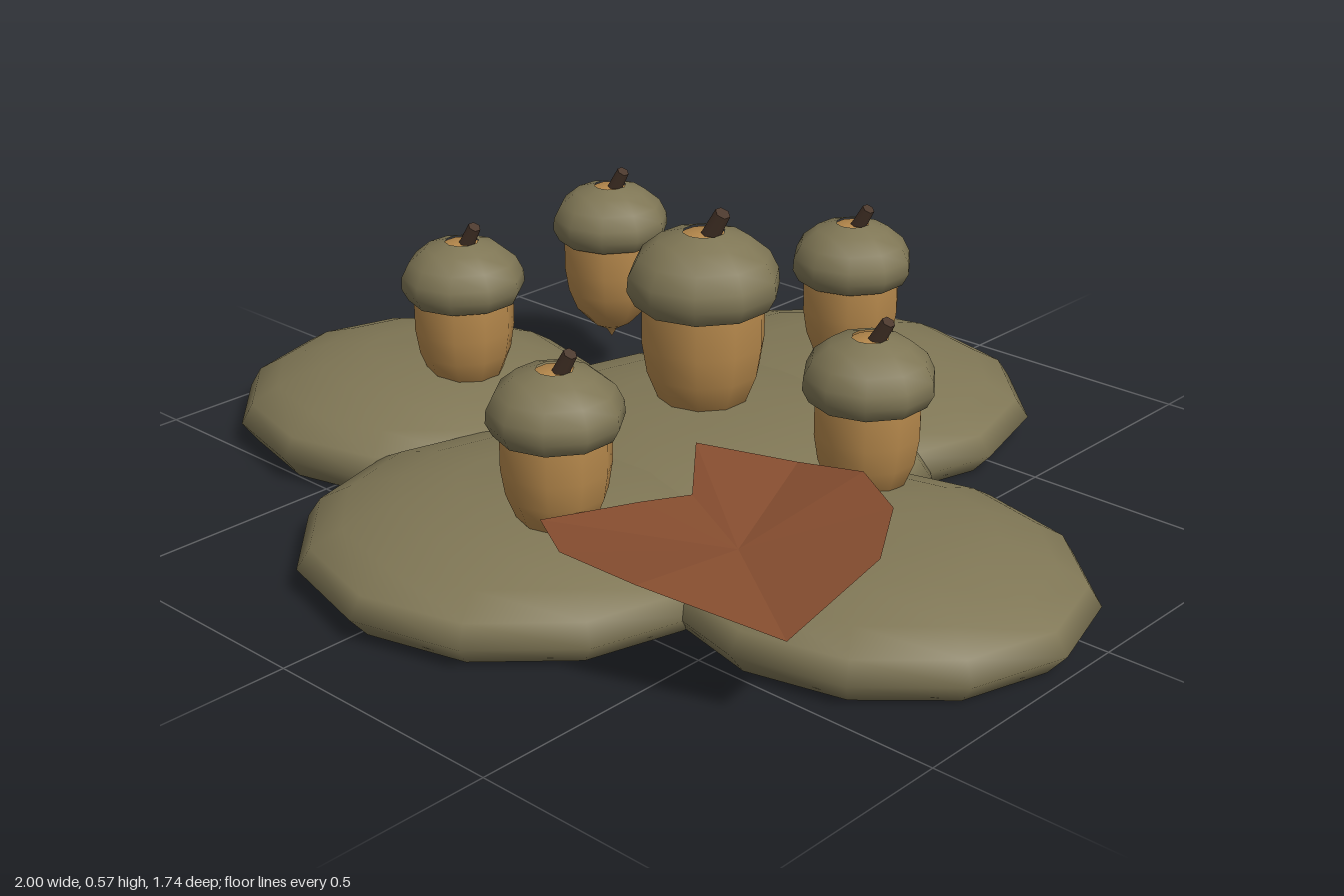
import * as THREE from 'three';

const material = (name, color, side = THREE.FrontSide) => {
  const m = new THREE.MeshStandardMaterial({ color, side });
  m.name = name;
  return m;
};

const lathe = (points, sides) =>
  new THREE.LatheGeometry(points.map(([r, y]) => new THREE.Vector2(r, y)), sides);

export function createModel() {
  const olive = material('olive', 0x7f7655);
  const nutBrown = material('nut brown', 0xb4874b);
  const bark = material('bark brown', 0x4a372b);
  const rust = material('rust', 0x874e30, THREE.DoubleSide);

  const model = new THREE.Group();
  model.name = 'acornsOnMounds';
  const add = (parent, name, geometry, mat) => {
    const mesh = new THREE.Mesh(geometry, mat);
    mesh.name = name;
    parent.add(mesh);
    return mesh;
  };

  // Low rounded mounds: unit radius and unit height, scaled per mound
  const moundGeo = lathe([
    [0, 0], [0.6, 0], [0.91, 0], [1, 0.26], [0.94, 0.49], [0.8, 0.68],
    [0.56, 0.88], [0.3, 0.97], [0, 1],
  ], 12);
  const mounds = [
    ['centreMound', 0, -0.03, 0.48, 0.48, 0.178],
    ['backMound', -0.01, -0.44, 0.44, 0.43, 0.167],
    ['frontMound', 0.015, 0.44, 0.435, 0.425, 0.167],
    ['leftMound', 0.58, 0.13, 0.42, 0.38, 0.17],
    ['rightMound', -0.59, 0.15, 0.41, 0.38, 0.178],
  ];
  for (const [name, x, z, rx, rz, h] of mounds) {
    const mound = add(model, name, moundGeo, olive);
    mound.position.set(x, 0, z);
    mound.scale.set(rx, h, rz);
  }

  // Acorn parts, measured up from the pointed tip
  const nutGeo = lathe([
    [0, 0], [0.012, 0.02], [0.042, 0.036], [0.075, 0.07], [0.093, 0.115],
    [0.101, 0.165], [0.101, 0.225], [0.095, 0.28], [0.065, 0.325], [0.032, 0.347], [0, 0.349],
  ], 10);
  const capGeo = lathe([
    [0.09, 0.228], [0.112, 0.23], [0.125, 0.255], [0.123, 0.28],
    [0.108, 0.31], [0.075, 0.337], [0.034, 0.349],
  ], 10);
  const stemPath = new THREE.LineCurve3(
    new THREE.Vector3(0.005, 0.33, 0), new THREE.Vector3(0.04, 0.388, 0));
  const stemGeo = new THREE.CylinderGeometry(0.013, 0.016, stemPath.getLength(), 6);

  const acorns = [
    ['centreAcorn', 0, -0.06, 1.22], ['backAcorn', 0.04, -0.47, 1],
    ['rightBackAcorn', -0.5, -0.31, 1], ['leftAcorn', 0.46, 0, 1],
    ['rightAcorn', -0.465, 0.15, 1], ['frontAcorn', 0.15, 0.49, 1],
  ];
  for (const [name, x, z, size] of acorns) {
    const acorn = new THREE.Group();
    acorn.name = name;
    add(acorn, 'nut', nutGeo, nutBrown);
    add(acorn, 'cap', capGeo, olive);
    const stem = add(acorn, 'stem', stemGeo, bark);
    stem.position.copy(stemPath.getPoint(0.5));
    stem.quaternion.setFromUnitVectors(new THREE.Vector3(0, 1, 0), stemPath.getTangent(0));
    acorn.position.set(x, 0.09, z);
    acorn.scale.setScalar(size);
    model.add(acorn);
  }

  // Fallen leaf: a curled outline fanned around a sagging middle
  const middle = [0.5, 0.175, 0.4];
  const rim = [
    [0.2, 0.21, 0.18], [0.38, 0.2, 0.1], [0.54, 0.235, 0.11], [0.67, 0.235, 0.19],
    [0.76, 0.225, 0.34], [0.775, 0.18, 0.595], [0.54, 0.235, 0.695], [0.36, 0.23, 0.69],
    [0.22, 0.21, 0.6], [0.27, 0.19, 0.4], [0.31, 0.185, 0.31],
  ];
  const corners = rim.flatMap((p, i) => [...middle, ...rim[(i + 1) % rim.length], ...p]);
  const leafGeo = new THREE.BufferGeometry();
  leafGeo.setAttribute('position', new THREE.Float32BufferAttribute(corners, 3));
  leafGeo.computeVertexNormals();
  add(model, 'leaf', leafGeo, rust);

  return model;
}
